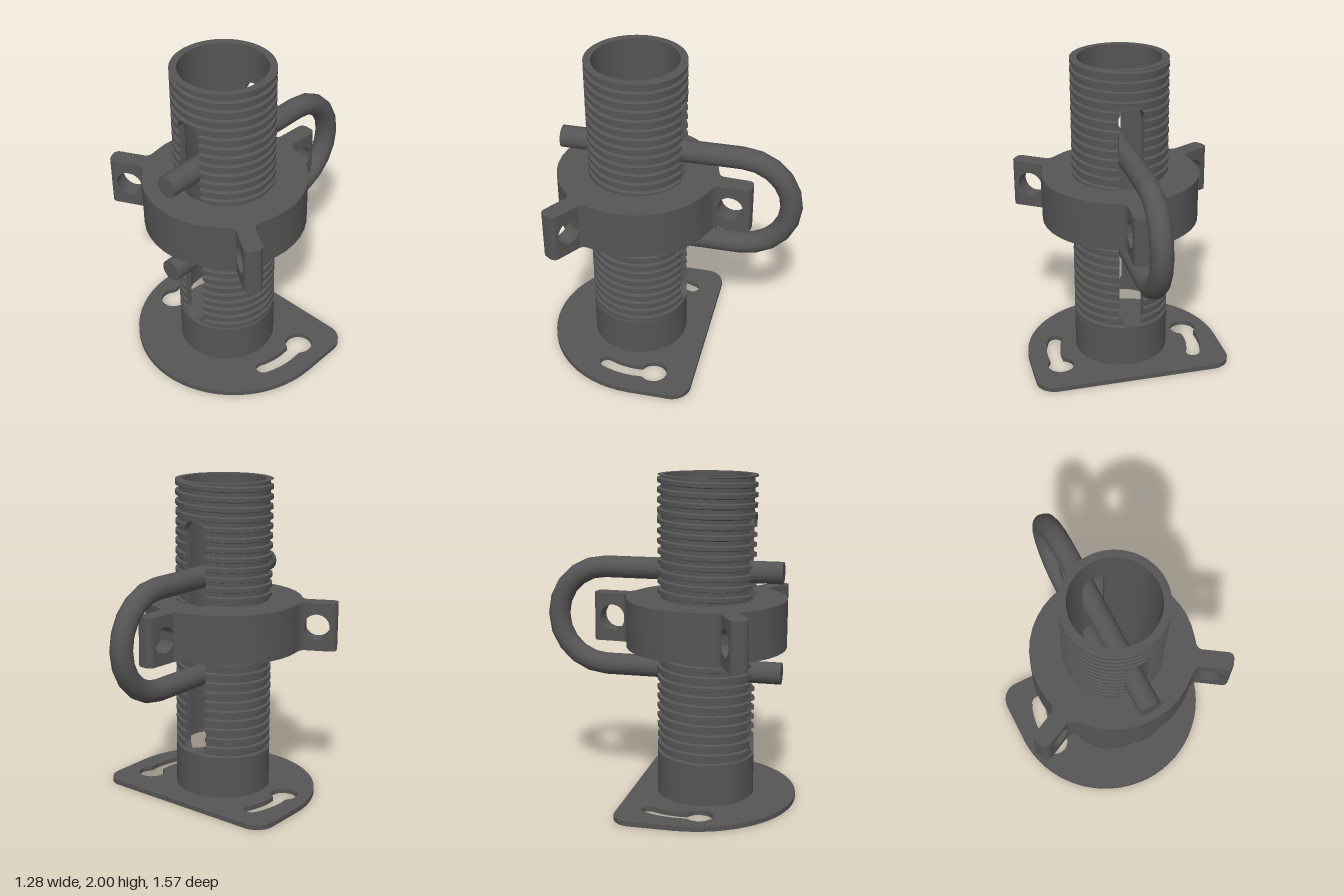
import * as THREE from 'three';
import { toCreasedNormals } from 'three/addons/utils/BufferGeometryUtils.js';

const CX = 0.01, CZ = 0.225;            // tube axis
const R_OUT = 0.3, R_ROOT = 0.281, R_IN = 0.256;
const THREAD_Y = 0.28, TOP_Y = 2, PITCH = 0.06;
const SLOT = { low: 0.305, high: 1.77, half: 0.07, angle: 0.27, corner: 0.06 };

export function createModel() {
  const model = new THREE.Group();
  const steel = new THREE.MeshStandardMaterial({ color: 0x555555 });
  steel.name = 'dark grey steel';

  const add = (name, geometry, parent = model) => {
    const mesh = new THREE.Mesh(geometry, steel);
    mesh.name = name;
    parent.add(mesh);
    return mesh;
  };

  // Extrudes a plan outline (x, z) between two heights
  const slab = (shape, y0, y1, curveSegments = 16) => {
    const g = new THREE.ExtrudeGeometry(shape, { depth: y1 - y0, bevelEnabled: false, curveSegments });
    g.rotateX(Math.PI / 2).translate(0, y1, 0);
    return toCreasedNormals(g, 0.6);
  };

  // Base plate: straight back edge, round front, two keyhole slots
  const plate = new THREE.Shape();
  const W = 0.632, PZ = 0.155, back = -0.222, c = 0.12;
  plate.moveTo(W, PZ);
  plate.absarc(0, PZ, W, 0, Math.PI, false);
  plate.lineTo(-W, back + c);
  plate.absarc(-W + c, back + c, c, Math.PI, Math.PI * 1.5, false);
  plate.absarc(W - c, back + c, c, Math.PI * 1.5, Math.PI * 2, false);
  for (const turn of [0, Math.PI]) plate.holes.push(keyhole(turn, PZ));
  add('basePlate', slab(plate, 0, 0.03)).position.x = CX;

  // Plain foot of the tube
  const tube = new THREE.Group();
  tube.name = 'threadedTube';
  tube.position.set(CX, 0, CZ);
  model.add(tube);
  const foot = [[R_IN, 0.03], [R_OUT, 0.03], [R_OUT, 0.285], [R_IN, 0.285]].map(p => new THREE.Vector2(...p));
  add('tubeFoot', toCreasedNormals(new THREE.LatheGeometry(foot, 64), 0.6), tube);

  // Threaded wall, opened by a long slot in front and behind
  const low = () => THREAD_Y, high = () => TOP_Y;
  for (const [side, mid] of [['front', 0], ['back', Math.PI]]) {
    const a = mid - SLOT.angle, b = mid + SLOT.angle;
    const round = t => {
      const u = Math.min(1, Math.abs(t - mid) / SLOT.angle) * SLOT.half;
      const d = Math.max(0, u - (SLOT.half - SLOT.corner));
      return SLOT.corner - Math.sqrt(Math.max(0, SLOT.corner ** 2 - d * d));
    };
    add(side + 'WallBelowSlot', threadWall(a, b, 12, low, t => SLOT.low + round(t)), tube);
    add(side + 'WallAboveSlot', threadWall(a, b, 12, t => SLOT.high - round(t), high), tube);
    add(side === 'front' ? 'leftWall' : 'rightWall', threadWall(b, a + Math.PI, 32, low, high), tube);
  }

  // Collar nut with three drilled lugs
  const collar = new THREE.Group();
  collar.name = 'collarNut';
  collar.position.set(CX, 0, CZ);
  model.add(collar);
  const Y0 = 0.96, Y1 = 1.26, RC = 0.49, T = 0.055;
  const lugAngles = [0, 1, 2].map(i => THREE.MathUtils.degToRad(33.3 + 120 * i));
  const root = [[0.474, -0.125], [0.486, -0.085], [0.497, -0.067], [0.515, -T],
    [0.515, T], [0.497, 0.067], [0.486, 0.085], [0.474, 0.125]];
  const outline = [];
  const gap = Math.atan2(0.125, 0.474);
  for (const a of lugAngles) {
    for (const [r, t] of root) {
      outline.push(new THREE.Vector2(r * Math.cos(a) - t * Math.sin(a), r * Math.sin(a) + t * Math.cos(a)));
    }
    const span = Math.PI * 2 / 3 - 2 * gap;
    for (let i = 1; i < 10; i++) {
      const b = a + gap + span * i / 10;
      outline.push(new THREE.Vector2(RC * Math.cos(b), RC * Math.sin(b)));
    }
  }
  const ring = new THREE.Shape(outline);
  ring.holes.push(new THREE.Path().absarc(0, 0, 0.285, 0, Math.PI * 2, true));
  add('collarRing', slab(ring, Y0, Y1, 32), collar);

  const web = new THREE.Shape();
  web.moveTo(0.48, Y0);
  web.lineTo(0.678, Y0);
  web.lineTo(0.678, Y1);
  web.lineTo(0.48, Y1);
  web.holes.push(new THREE.Path().absarc(0.59, 1.11, 0.08, 0, Math.PI * 2, true));
  const webGeo = new THREE.ExtrudeGeometry(web, { depth: 2 * T, bevelEnabled: false, curveSegments: 16 });
  webGeo.translate(0, 0, -T);
  const lugGeo = toCreasedNormals(webGeo, 0.6);

  const tip = new THREE.Shape();
  const k = 0.036, end = 0.714;
  tip.moveTo(end - k, -T);
  tip.absarc(end - k, -T + k, k, -Math.PI / 2, 0, false);
  tip.absarc(end - k, T - k, k, 0, Math.PI / 2, false);
  const tipGeo = slab(tip, Y0, Y1, 6);
  for (const a of lugAngles) {
    const lug = new THREE.Group();
    lug.name = 'collarLug';
    lug.rotation.y = -a;
    collar.add(lug);
    add('lugWeb', lugGeo, lug);
    add('lugTip', tipGeo, lug);
  }

  // U-shaped pin through the slots
  const pin = new THREE.Group();
  pin.name = 'uPin';
  pin.position.set(0.008, 1.117, 0);
  model.add(pin);
  const BR = 0.067, bend = 0.308, zBend = -0.41, zEnd = 0.69;
  for (const s of [1, -1]) {
    const leg = new THREE.CylinderGeometry(BR, BR, zEnd - zBend, 24).rotateX(Math.PI / 2);
    add(s > 0 ? 'upperPinLeg' : 'lowerPinLeg', leg, pin).position.set(0, s * bend, (zEnd + zBend) / 2);
  }
  const bow = new THREE.TorusGeometry(bend, BR, 24, 10, Math.PI);
  bow.rotateZ(Math.PI / 2).rotateY(-Math.PI / 2);
  add('pinBend', bow, pin).position.z = zBend;

  return model;
}

// Curved slot with a wide round end, centred on the plate arc
function keyhole(turn, pz) {
  const R = 0.465, half = 0.045, big = 0.085;
  const wide = -0.27, narrow = 0.42, join = wide + 0.155;
  const pts = [];
  const push = (r, a) => pts.push(new THREE.Vector2(r * Math.cos(a + turn), pz + r * Math.sin(a + turn)));
  // Arc around a point on the slot's centre line
  const cap = (a, rad, from, to, n) => {
    for (let i = 0; i <= n; i++) {
      const b = from + (to - from) * i / n;
      const x = R * Math.cos(a) + rad * Math.cos(b), z = R * Math.sin(a) + rad * Math.sin(b);
      push(Math.hypot(x, z), Math.atan2(z, x));
    }
  };
  for (let i = 0; i <= 5; i++) push(R + half, join + (narrow - join) * i / 5);
  cap(narrow, half, narrow + 0.4, narrow + Math.PI - 0.4, 6);
  for (let i = 5; i >= 0; i--) push(R - half, join + (narrow - join) * i / 5);
  const mid = wide + Math.PI / 2, open = 0.6;
  cap(wide, big, mid + open, mid + Math.PI * 2 - open, 14);
  return new THREE.Path(pts);
}

// Closed sector of tube wall with a helical thread outside, clipped between two heights
function threadWall(a0, a1, n, yLow, yHigh) {
  const profile = [[0, R_ROOT], [0.4, R_ROOT], [0.5, R_OUT], [0.9, R_OUT]];
  const turns = Math.ceil((TOP_Y - THREAD_Y) / PITCH) + 2;
  const pos = [], idx = [];
  let m = 0;
  for (let i = 0; i <= n; i++) {
    const t = a0 + (a1 - a0) * i / n, lo = yLow(t), hi = yHigh(t);
    const loop = [[R_IN, lo]];
    for (let k = -1; k <= turns; k++) {
      for (const [f, r] of profile) {
        const y = THREAD_Y + PITCH * (k + f - t / (Math.PI * 2));
        loop.push([r, Math.min(hi, Math.max(lo, y))]);
      }
    }
    loop.push([R_IN, hi]);
    m = loop.length;
    for (const [r, y] of loop) pos.push(r * Math.sin(t), y, r * Math.cos(t));
  }
  for (let i = 0; i < n; i++) {
    for (let j = 0; j < m; j++) {
      const j2 = (j + 1) % m;
      const a = i * m + j, b = a + m, d = i * m + j2, e = d + m;
      idx.push(a, b, e, a, e, d);
    }
  }
  // Flat radial end faces
  for (const [col, t, flip] of [[0, a0, false], [n, a1, true]]) {
    const base = pos.length / 3;
    for (let j = 0; j < m; j++) {
      pos.push(R_IN * Math.sin(t), pos[(col * m + j) * 3 + 1], R_IN * Math.cos(t));
    }
    for (let j = 0; j < m - 1; j++) {
      const q = [base + j, col * m + j, col * m + j + 1, base + j + 1];
      if (flip) q.reverse();
      idx.push(q[0], q[1], q[2], q[0], q[2], q[3]);
    }
  }
  const g = new THREE.BufferGeometry();
  g.setAttribute('position', new THREE.Float32BufferAttribute(pos, 3));
  g.setIndex(idx);
  return toCreasedNormals(g, 0.5);
}
